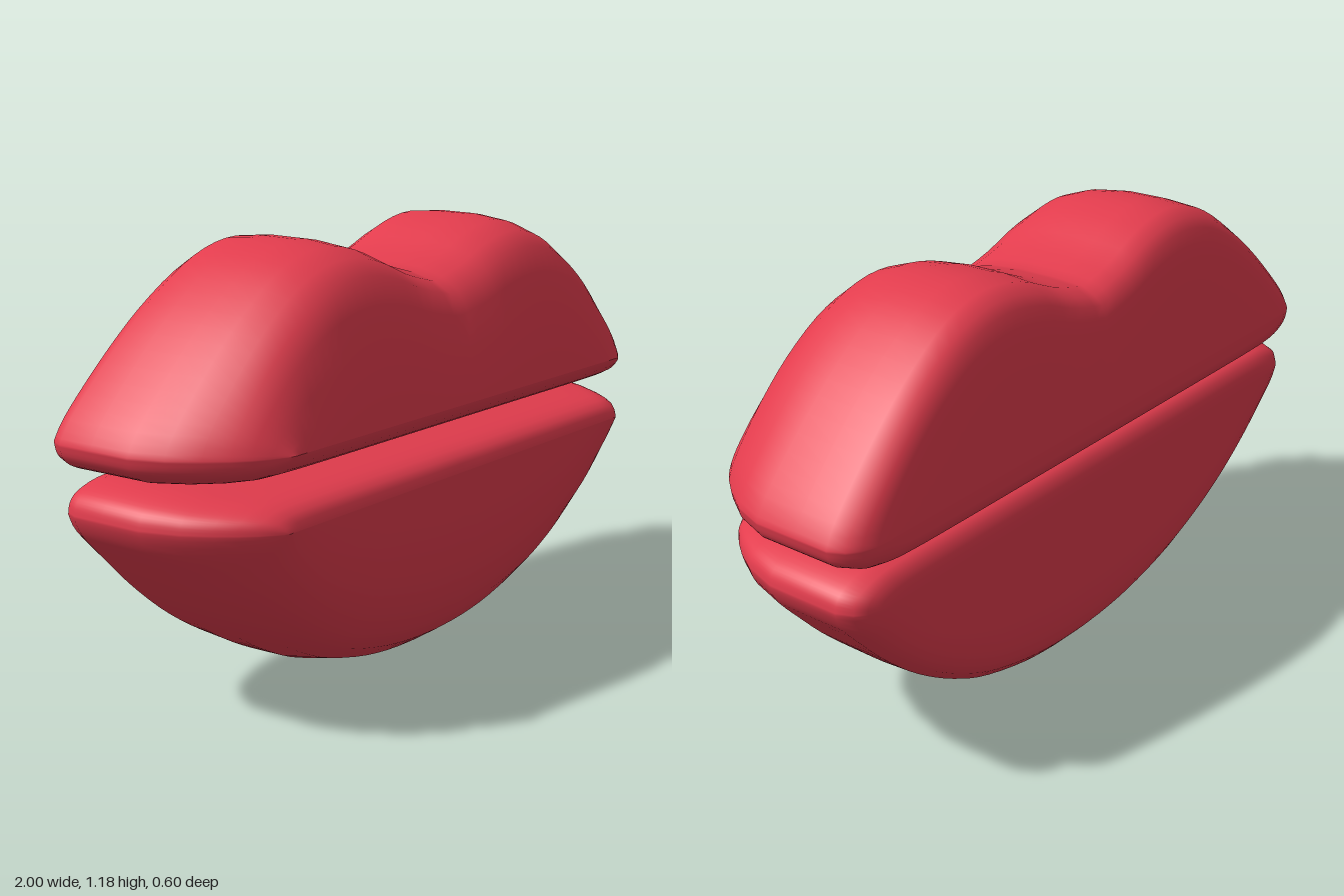
import * as THREE from 'three';

const HALF = 28; // samples per quarter of the outline

// Outline, counterclockwise from the +x corner, from right-half edge points
function outline(top, bottom) {
  const sample = (pts) =>
    new THREE.SplineCurve(pts.map(([x, y]) => new THREE.Vector2(x, y))).getPoints(HALF);
  const t = sample(top), b = sample(bottom); // both run from the centre to the corner
  const mirror = (p) => new THREE.Vector2(-p.x, p.y);
  return [
    ...t.slice().reverse(),
    ...t.slice(1).map(mirror),
    ...b.slice(0, -1).reverse().map(mirror),
    ...b.slice(1, -1),
  ];
}

// Stack of outlines from front to back; each layer is [z, width, upper, lower] scale
function lip(name, { top, bottom, midY, layers, lean }, material) {
  const ring = outline(top, bottom);
  const n = ring.length;
  const pos = [], index = [];
  layers.forEach(([z, w, up, low]) => {
    for (const p of ring) {
      // narrow the corners more than the middle
      const x = p.x * (1 - (1 - w) * p.x * p.x);
      const y = midY + (p.y - midY) * (p.y > midY ? up : low);
      // the back plane leans forward away from the mouth line
      const away = Math.max(0, (y - midY) * lean);
      pos.push(x, y, z < 0 ? z * (1 - 0.25 * away) : z);
    }
  });
  for (let i = 0; i < layers.length - 1; i++) {
    for (let j = 0; j < n; j++) {
      const a = i * n + j, b = i * n + ((j + 1) % n);
      index.push(a, a + n, b, a + n, b + n, b);
    }
  }
  const geo = new THREE.BufferGeometry();
  geo.setAttribute('position', new THREE.Float32BufferAttribute(pos, 3));
  geo.setIndex(index);
  geo.computeVertexNormals();
  const mesh = new THREE.Mesh(geo, material);
  mesh.name = name;
  return mesh;
}

export function createModel() {
  const group = new THREE.Group();
  group.name = 'lips';
  const red = new THREE.MeshStandardMaterial({ color: 0xe23c4d });

  // Upper lip with its two peaks
  group.add(lip('upperLip', {
    midY: 0.735,
    lean: 1,
    top: [[0, 1.07], [0.12, 1.103], [0.24, 1.153], [0.36, 1.178], [0.47, 1.168], [0.58, 1.125],
      [0.7, 1.045], [0.8, 0.96], [0.9, 0.862], [0.97, 0.785], [1, 0.735]],
    bottom: [[0, 0.645], [0.3, 0.645], [0.6, 0.645], [0.8, 0.647], [0.9, 0.655],
      [0.96, 0.675], [0.99, 0.7], [1, 0.735]],
    layers: [
      [0.3, 0.76, 0, 0], [0.292, 0.775, 0.2, 0.25], [0.272, 0.81, 0.42, 0.45],
      [0.245, 0.85, 0.66, 0.6], [0.21, 0.885, 0.82, 0.74], [0.16, 0.925, 0.91, 0.84],
      [0.09, 0.97, 0.967, 0.92], [0, 1, 0.995, 1], [-0.12, 1, 1, 1], [-0.22, 1, 0.985, 1],
      [-0.26, 0.98, 0.93, 0.95], [-0.283, 0.95, 0.87, 0.82], [-0.296, 0.91, 0.78, 0.6],
      [-0.3, 0.87, 0.65, 0.4], [-0.3, 0.85, 0, 0],
    ],
  }, red));

  // Lower lip, one full curve
  group.add(lip('lowerLip', {
    midY: 0.55,
    lean: -1,
    top: [[0, 0.636], [0.3, 0.636], [0.6, 0.636], [0.8, 0.634], [0.88, 0.626],
      [0.94, 0.605], [0.965, 0.58], [0.972, 0.55]],
    bottom: [[0, 0.002], [0.12, 0.008], [0.25, 0.028], [0.4, 0.07], [0.5, 0.115], [0.6, 0.173],
      [0.7, 0.245], [0.8, 0.335], [0.88, 0.42], [0.95, 0.5], [0.972, 0.55]],
    layers: [
      [0.29, 0.78, 0, 0], [0.285, 0.795, 0.25, 0.24], [0.27, 0.82, 0.45, 0.46],
      [0.248, 0.85, 0.6, 0.62], [0.213, 0.885, 0.69, 0.77], [0.17, 0.92, 0.76, 0.87],
      [0.1, 0.965, 0.85, 0.952], [0, 1, 0.98, 0.995], [-0.12, 1, 1, 1], [-0.21, 1, 1, 0.98],
      [-0.25, 0.98, 0.9, 0.91], [-0.27, 0.95, 0.72, 0.84], [-0.28, 0.91, 0.45, 0.74],
      [-0.282, 0.87, 0.25, 0.6], [-0.282, 0.85, 0, 0],
    ],
  }, red));

  return group;
}
